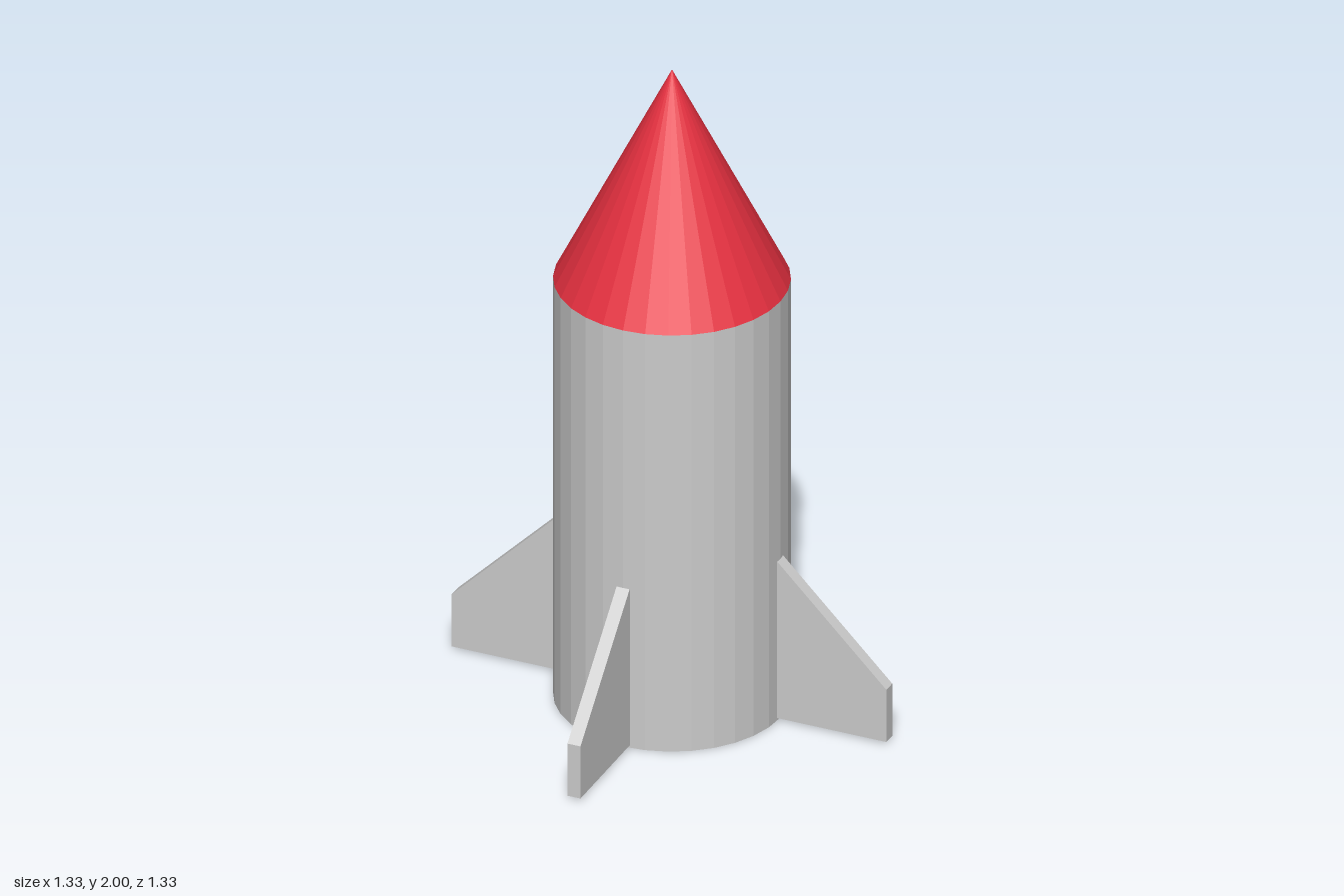
import * as THREE from 'three';

const RADIUS = 0.333, BODY_HEIGHT = 1.333, NOSE_HEIGHT = 0.667, SIDES = 32;
const FIN_THICKNESS = 0.04;

export function createModel() {
  const rocket = new THREE.Group();
  rocket.name = 'rocket';
  const grey = new THREE.MeshStandardMaterial({ color: 0xcccccc, flatShading: true });
  const red = new THREE.MeshStandardMaterial({ color: 0xe63040, flatShading: true });

  const add = (name, geometry, material) => {
    const mesh = new THREE.Mesh(geometry, material);
    mesh.name = name;
    rocket.add(mesh);
    return mesh;
  };

  // Faceted body and nose cone
  add('body', new THREE.CylinderGeometry(RADIUS, RADIUS, BODY_HEIGHT, SIDES), grey)
    .position.y = BODY_HEIGHT / 2;
  add('noseCone', new THREE.ConeGeometry(RADIUS, NOSE_HEIGHT, SIDES), red)
    .position.y = BODY_HEIGHT + NOSE_HEIGHT / 2;

  // Fin outline: x runs outward, the root sits just inside the body
  const outline = new THREE.Shape([
    [0.32, 0.008], [0.667, 0.008], [0.667, 0.175], [0.333, 0.508], [0.32, 0.508],
  ].map(([x, y]) => new THREE.Vector2(x, y)));
  const finGeometry = new THREE.ExtrudeGeometry(outline, { depth: FIN_THICKNESS, bevelEnabled: false });
  finGeometry.translate(0, 0, -FIN_THICKNESS / 2);

  // Four fins, a quarter turn apart
  ['leftFin', 'backFin', 'rightFin', 'frontFin'].forEach((name, i) => {
    add(name, finGeometry, grey).rotation.y = i * Math.PI / 2;
  });

  return rocket;
}
